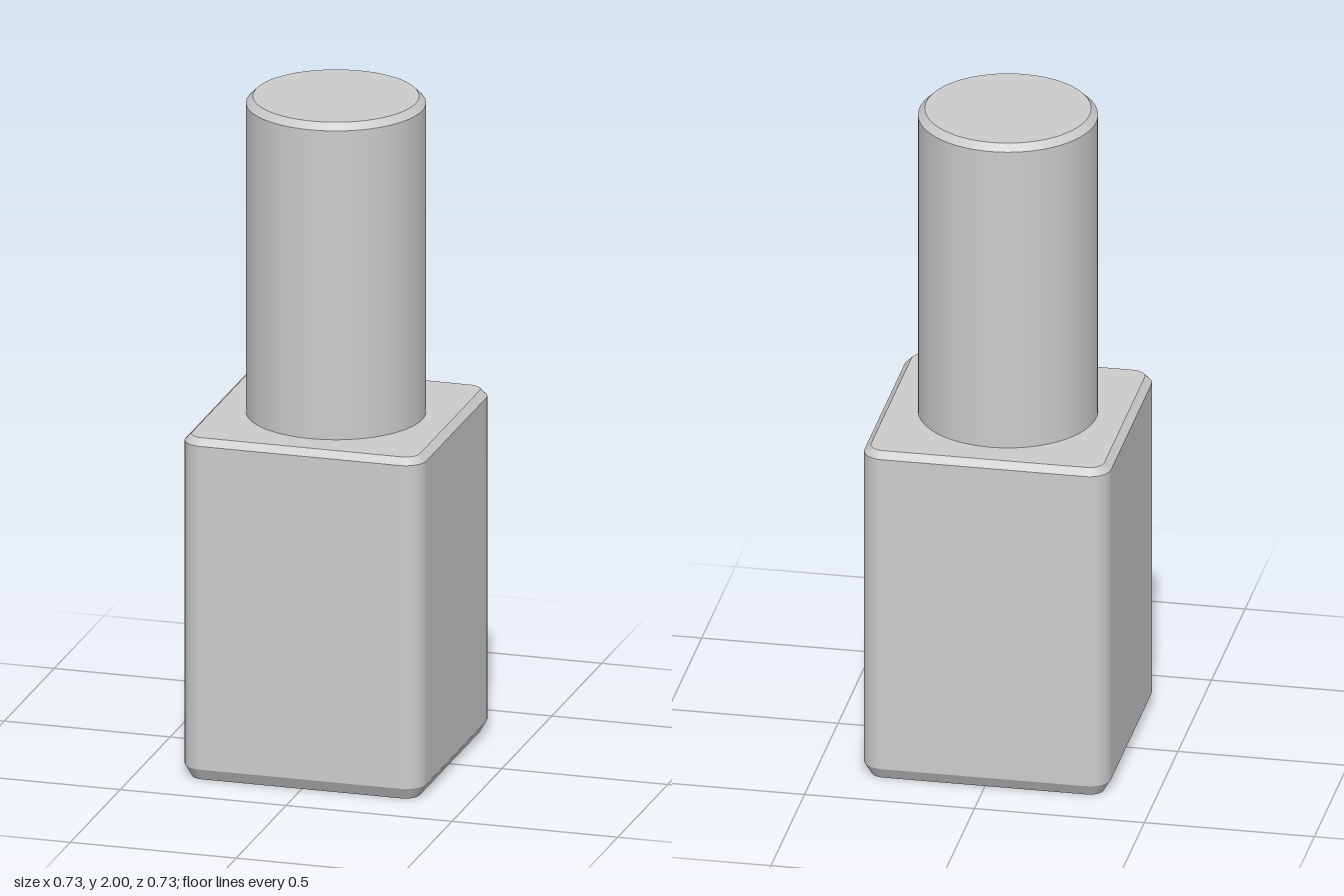
import * as THREE from 'three';

const material = new THREE.MeshStandardMaterial({ color: 0xcccccc });

// Solid with a rounded-square outline: arcs of radius r around corner centres at +-c.
// profile lists [r, y] from bottom to top; c = 0 gives a round solid.
// Each band owns its vertices, so profile edges stay sharp and the sides stay smooth.
function chamferedSolid(name, c, profile, steps) {
  const outline = [];
  for (let k = 0; k < 4; k++) {
    const mid = (k + 0.5) * Math.PI / 2;
    const last = c > 0 ? steps : steps - 1;
    for (let j = 0; j <= last; j++) {
      const a = (k + j / steps) * Math.PI / 2;
      outline.push({
        cx: c * Math.sign(Math.cos(mid)), cz: c * Math.sign(Math.sin(mid)),
        nx: Math.cos(a), nz: Math.sin(a),
      });
    }
  }
  const n = outline.length;
  const positions = [], normals = [], index = [];

  const addRing = ([r, y], out, up) => {
    const start = positions.length / 3;
    for (const p of outline) {
      positions.push(p.cx + r * p.nx, y, p.cz + r * p.nz);
      normals.push(p.nx * out, up, p.nz * out);
    }
    return start;
  };

  // side bands
  for (let b = 0; b < profile.length - 1; b++) {
    const [r0, y0] = profile[b], [r1, y1] = profile[b + 1];
    const len = Math.hypot(r1 - r0, y1 - y0);
    const out = (y1 - y0) / len, up = (r0 - r1) / len;
    const lo = addRing(profile[b], out, up), hi = addRing(profile[b + 1], out, up);
    for (let i = 0; i < n; i++) {
      const j = (i + 1) % n;
      index.push(lo + i, hi + i, lo + j, hi + i, hi + j, lo + j);
    }
  }

  // flat ends
  for (const up of [-1, 1]) {
    const end = up > 0 ? profile[profile.length - 1] : profile[0];
    const ring = addRing(end, 0, up);
    const centre = positions.length / 3;
    positions.push(0, end[1], 0);
    normals.push(0, up, 0);
    for (let i = 0; i < n; i++) {
      const j = (i + 1) % n;
      if (up > 0) index.push(centre, ring + j, ring + i);
      else index.push(centre, ring + i, ring + j);
    }
  }

  const geometry = new THREE.BufferGeometry();
  geometry.setAttribute('position', new THREE.Float32BufferAttribute(positions, 3));
  geometry.setAttribute('normal', new THREE.Float32BufferAttribute(normals, 3));
  geometry.setIndex(index);
  const mesh = new THREE.Mesh(geometry, material);
  mesh.name = name;
  return mesh;
}

export function createModel() {
  const model = new THREE.Group();
  model.name = 'bottle';

  // square bottle with a taller chamfer at the foot
  model.add(chamferedSolid('bottleBody', 0.3,
    [[0.042, 0], [0.063, 0.036], [0.063, 1.02], [0.043, 1.04]], 12));

  // round cap
  model.add(chamferedSolid('cap', 0,
    [[0.26, 1.04], [0.26, 1.98], [0.24, 2]], 24));

  return model;
}
